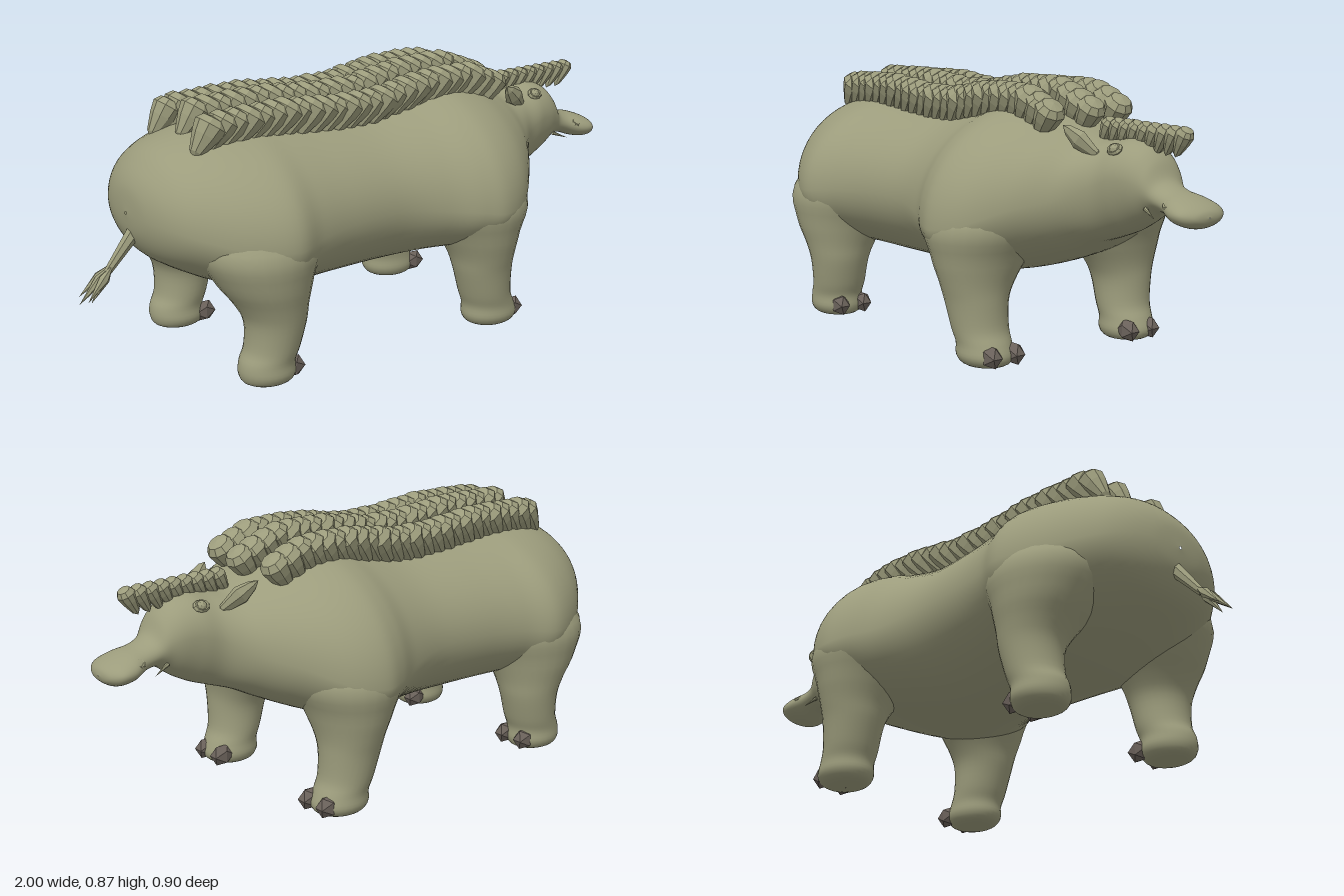
import * as THREE from 'three';

const hide = new THREE.MeshStandardMaterial({ color: 0x9c9c7c });
const bristle = new THREE.MeshStandardMaterial({ color: 0x9c9c7c, flatShading: true });
const hoof = new THREE.MeshStandardMaterial({ color: 0x6b625b, flatShading: true });
hide.name = 'hide'; bristle.name = 'bristle'; hoof.name = 'hoof';

// Catmull-Rom through rows of numbers, t from 0 to rows - 1
function sample(rows, t) {
  const i = Math.min(Math.floor(t), rows.length - 2), f = t - i;
  const at = k => rows[Math.max(0, Math.min(rows.length - 1, k))];
  return rows[0].map((_, k) => {
    const a = at(i - 1)[k], b = at(i)[k], c = at(i + 1)[k], d = at(i + 2)[k];
    return b + 0.5 * f * (c - a + f * (2 * a - 5 * b + 4 * c - d + f * (3 * (b - c) + d - a)));
  });
}

// Smooth skin over closed rings
function loft(rows, ringPoint, seg = 40, sub = 5) {
  const pos = [], idx = [], n = (rows.length - 1) * sub;
  for (let i = 0; i <= n; i++) {
    const s = sample(rows, i / sub);
    for (let j = 0; j < seg; j++) pos.push(...ringPoint(s, (j / seg) * Math.PI * 2));
  }
  for (let i = 0; i < n; i++) for (let j = 0; j < seg; j++) {
    const k = (j + 1) % seg, a = i * seg + j, b = a + seg, c = i * seg + k, d = c + seg;
    idx.push(a, c, b, b, c, d);
  }
  const g = new THREE.BufferGeometry();
  g.setAttribute('position', new THREE.Float32BufferAttribute(pos, 3));
  g.setIndex(idx);
  g.computeVertexNormals();
  return g;
}

// Piecewise linear lookup in [x, y] pairs
function lookup(pairs, x) {
  let i = 0;
  while (i < pairs.length - 2 && x > pairs[i + 1][0]) i++;
  const [[x0, y0], [x1, y1]] = [pairs[i], pairs[i + 1]];
  return y0 + (y1 - y0) * (x - x0) / (x1 - x0);
}

// Tapered part running from point a to point b
function spike(geometry, a, b, material) {
  const m = new THREE.Mesh(geometry, material);
  const dir = new THREE.Vector3().subVectors(b, a);
  m.scale.y = dir.length();
  m.position.copy(a).addScaledVector(dir, 0.5);
  m.quaternion.setFromUnitVectors(new THREE.Vector3(0, 1, 0), dir.normalize());
  return m;
}
const V = (x, y, z) => new THREE.Vector3(x, y, z);

export function createModel() {
  const model = new THREE.Group();
  const add = (name, mesh, parent = model) => { mesh.name = name; parent.add(mesh); return mesh; };

  // Body, neck, head and snout: x, top, bottom, height of widest point, half width
  const bodyRows = [
    [-0.835, 0.525, 0.515, 0.52, 0.005], [-0.825, 0.6, 0.45, 0.52, 0.11], [-0.79, 0.66, 0.39, 0.51, 0.21],
    [-0.73, 0.71, 0.345, 0.49, 0.29], [-0.62, 0.745, 0.29, 0.46, 0.38], [-0.49, 0.755, 0.245, 0.45, 0.43],
    [-0.38, 0.75, 0.235, 0.46, 0.39], [-0.24, 0.74, 0.23, 0.47, 0.36], [-0.05, 0.735, 0.232, 0.47, 0.347],
    [0.1, 0.76, 0.242, 0.45, 0.38], [0.2, 0.785, 0.25, 0.44, 0.43], [0.28, 0.79, 0.265, 0.43, 0.45],
    [0.38, 0.77, 0.3, 0.45, 0.41], [0.48, 0.73, 0.345, 0.5, 0.31], [0.56, 0.7, 0.385, 0.53, 0.21],
    [0.63, 0.705, 0.41, 0.57, 0.14], [0.7, 0.715, 0.437, 0.6, 0.118], [0.76, 0.7, 0.47, 0.6, 0.1],
    [0.8, 0.665, 0.5, 0.585, 0.082], [0.83, 0.61, 0.512, 0.56, 0.068], [0.87, 0.587, 0.507, 0.545, 0.068],
    [0.92, 0.575, 0.49, 0.53, 0.088], [0.965, 0.558, 0.485, 0.525, 0.085], [0.992, 0.54, 0.5, 0.52, 0.05],
    [1, 0.521, 0.519, 0.52, 0.002],
  ];
  add('body', new THREE.Mesh(loft(bodyRows, ([x, top, bot, mid, w], a) => {
    const c = Math.cos(a);
    return [x, mid + c * (c > 0 ? top - mid : mid - bot), w * Math.sin(a)];
  }, 56, 6), hide));

  // Legs, from shoulder or hip down: y, x, z, radius along x, radius along z
  const foreRows = [
    [0.6, 0.28, 0.22, 0.1, 0.1], [0.45, 0.285, 0.25, 0.175, 0.19], [0.34, 0.29, 0.27, 0.135, 0.16],
    [0.26, 0.297, 0.287, 0.106, 0.122], [0.2, 0.302, 0.293, 0.096, 0.1], [0.12, 0.315, 0.29, 0.086, 0.09],
    [0.075, 0.332, 0.288, 0.088, 0.085], [0.035, 0.338, 0.287, 0.094, 0.086], [0.008, 0.338, 0.285, 0.07, 0.062],
    [0, 0.338, 0.285, 0.001, 0.001],
  ];
  const hindRows = [
    [0.6, -0.5, 0.2, 0.12, 0.1], [0.45, -0.52, 0.23, 0.195, 0.19], [0.34, -0.52, 0.26, 0.155, 0.16],
    [0.26, -0.505, 0.28, 0.115, 0.122], [0.2, -0.497, 0.29, 0.096, 0.1], [0.12, -0.508, 0.288, 0.086, 0.09],
    [0.075, -0.525, 0.287, 0.088, 0.085], [0.035, -0.525, 0.286, 0.09, 0.086], [0.008, -0.525, 0.285, 0.07, 0.062],
    [0, -0.525, 0.285, 0.001, 0.001],
  ];
  const toe = new THREE.IcosahedronGeometry(1, 0);
  for (const side of [1, -1]) for (const [name, rows] of [['foreleg', foreRows], ['hindLeg', hindRows]]) {
    const leg = add(name, new THREE.Group());
    add(name + 'Skin', new THREE.Mesh(loft(rows, ([y, x, z, rx, rz], a) =>
      [x + rx * Math.cos(a), y, side * z + rz * Math.sin(a)], 28, 4), hide), leg);
    const footX = rows[8][1];
    for (const z of [0.232, 0.318]) {
      const t = add('toe', new THREE.Mesh(toe, hoof), leg);
      t.scale.set(0.044, 0.038, 0.031);
      t.position.set(footX + 0.07, 0.045, side * z);
    }
  }

  // Bristle tufts: narrow at the root, flared and leaning forward
  const tuft = new THREE.LatheGeometry(
    [[0.001, -0.5], [0.45, -0.35], [0.85, 0.05], [1, 0.3], [0.7, 0.45], [0.001, 0.5]]
      .map(([r, y]) => new THREE.Vector2(r, y)), 9);
  const crest = [[-0.68, 0.8], [-0.59, 0.83], [-0.35, 0.838], [-0.15, 0.82], [0, 0.822], [0.1, 0.842],
    [0.2, 0.856], [0.36, 0.858], [0.5, 0.805]];
  for (const side of [-1, 0, 1]) {
    const row = add('backBristles', new THREE.Group());
    const start = side ? -0.61 : -0.585, count = 25;
    for (let i = 0; i < count; i++) {
      const x = start + i * (side ? 1.07 : 1.075) / (count - 1);
      const top = lookup(crest, x) - (side ? 0.014 : 0);
      const z = side * 0.135;
      const t = add('tuft', spike(tuft, V(x - 0.065, top - 0.115, z), V(x + 0.015, top, z), bristle), row);
      t.scale.x = t.scale.z = 0.05 + 0.003 * Math.sin(i * 2.3 + side);
    }
  }

  // Smaller crest along the head
  const headRow = add('headBristles', new THREE.Group());
  for (let i = 0; i < 9; i++) {
    const x = 0.585 + i * 0.04;
    const t = add('tuft', spike(tuft, V(x - 0.05, 0.675, 0), V(x, 0.762, 0), bristle), headRow);
    t.scale.x = t.scale.z = 0.028;
  }

  // Ears, eyes, nostrils and small tusks
  const earShape = new THREE.CylinderGeometry(0.3, 0.5, 1, 7).translate(0, 0, 0);
  const cone = new THREE.ConeGeometry(1, 1, 7);
  const eyelid = new THREE.TorusGeometry(0.021, 0.008, 5, 10);
  const eyeball = new THREE.IcosahedronGeometry(0.017, 1);
  for (const side of [1, -1]) {
    const ear = add('ear', spike(
      new THREE.LatheGeometry([[0.001, -0.5], [0.5, -0.4], [1, 0.05], [0.55, 0.35], [0.001, 0.5]]
        .map(([r, y]) => new THREE.Vector2(r, y)), 7),
      V(0.63, 0.655, side * 0.085), V(0.52, 0.745, side * 0.137), bristle));
    ear.scale.x = 0.034; ear.scale.z = 0.024;
    const eye = add('eye', new THREE.Group());
    eye.position.set(0.69, 0.687, side * 0.083);
    eye.rotation.x = -side * 0.75;
    add('eyelid', new THREE.Mesh(eyelid, bristle), eye).scale.y = 0.75;
    add('eyeball', new THREE.Mesh(eyeball, bristle), eye);
    const nostril = add('nostril', new THREE.Mesh(new THREE.TorusGeometry(0.012, 0.005, 5, 8), bristle));
    nostril.position.set(0.9, 0.551, side * 0.069);
    nostril.rotation.x = -side * 0.8;
    const tusk = add('tusk', spike(cone, V(0.8, 0.525, side * 0.06), V(0.855, 0.503, side * 0.075), bristle));
    tusk.scale.x = tusk.scale.z = 0.007;
  }

  // Tail with a split tuft
  const tail = add('tail', new THREE.Group());
  add('tailStem', spike(new THREE.CylinderGeometry(0.012, 0.026, 1, 7),
    V(-0.79, 0.48, 0), V(-0.905, 0.345, 0), bristle), tail);
  const tip = new THREE.LatheGeometry([[0.001, -0.5], [1, -0.1], [0.001, 0.5]]
    .map(([r, y]) => new THREE.Vector2(r, y)), 6);
  for (const [x, y, z] of [[-1, 0.262, 0], [-0.985, 0.275, 0.032], [-0.985, 0.275, -0.032], [-0.965, 0.262, 0.01]]) {
    const t = add('tailTuft', spike(tip, V(-0.885, 0.37, z * 0.2), V(x, y, z), bristle), tail);
    t.scale.x = t.scale.z = 0.016;
  }
  return model;
}
